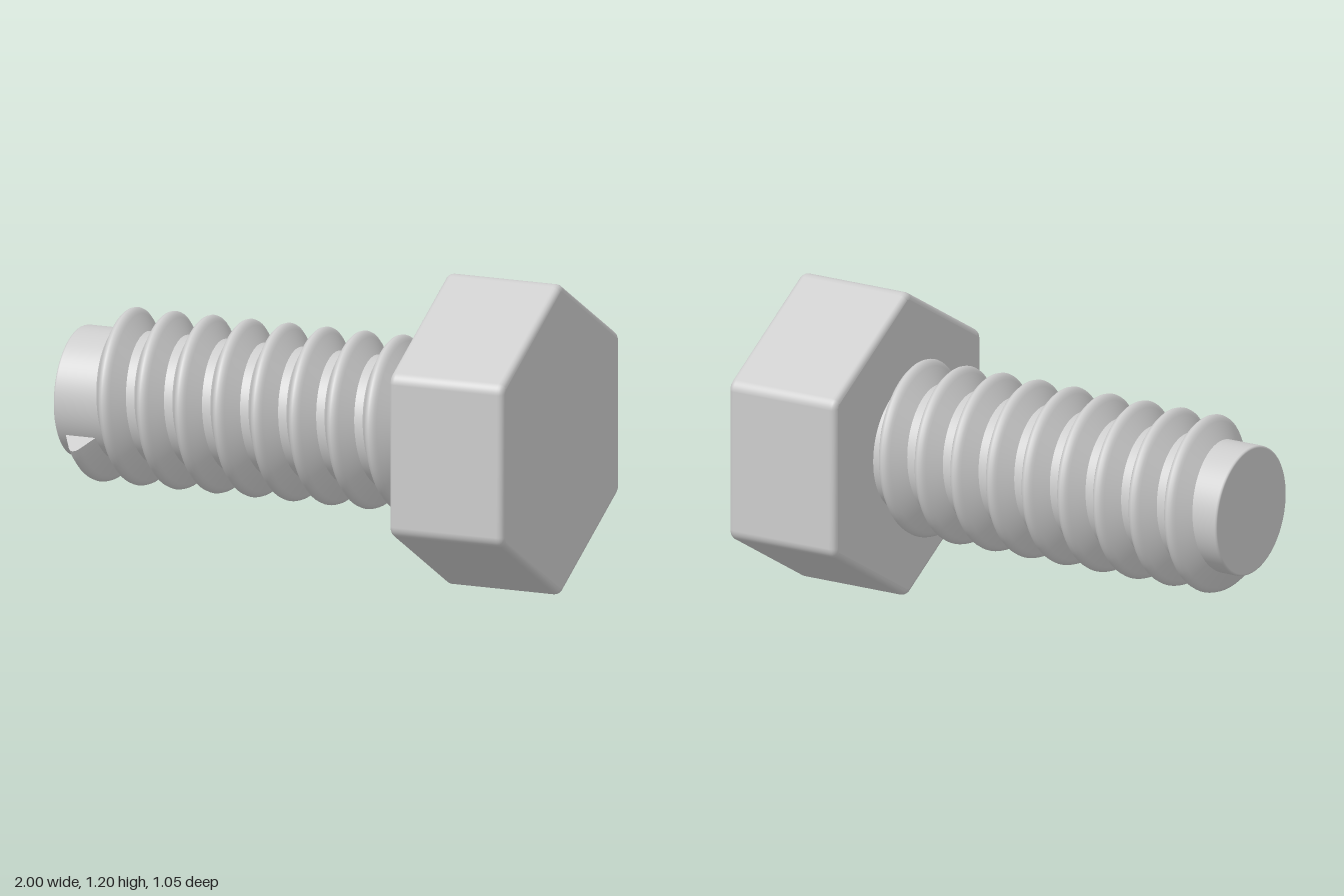
import * as THREE from 'three';
import { mergeVertices } from 'three/addons/utils/BufferGeometryUtils.js';

const AXIS_Y = 0.6;
const HEAD_X = 0.525;

// Weld the corners and take area-weighted normals, so flats stay flat and bevels are soft
function soften(geometry) {
  geometry.deleteAttribute('normal');
  geometry.deleteAttribute('uv');
  const welded = mergeVertices(geometry, 1e-4);
  welded.computeVertexNormals();
  return welded;
}

// Hexagonal head with rounded corners and bevelled rims
function headGeometry() {
  const bevel = 0.025, corner = 0.025, apothem = 0.525;
  const reach = (apothem - bevel - corner) / Math.cos(Math.PI / 6);
  const shape = new THREE.Shape();
  for (let i = 0; i < 6; i++) {
    const a = Math.PI / 2 + i * Math.PI / 3;
    shape.absarc(reach * Math.cos(a), reach * Math.sin(a), corner, a - Math.PI / 6, a + Math.PI / 6, false);
  }
  const geometry = new THREE.ExtrudeGeometry(shape, {
    depth: 1 - HEAD_X - 2 * bevel, bevelThickness: bevel, bevelSize: bevel,
    bevelSegments: 4, curveSegments: 4,
  });
  geometry.translate(0, 0, HEAD_X + bevel);
  geometry.rotateY(Math.PI / 2);
  return soften(geometry);
}

// Plain round shank with a slightly eased tip
function shankGeometry() {
  const profile = [[0, -1], [0.242, -1], [0.248, -0.998], [0.25, -0.992], [0.25, 0.54]]
    .map(([r, x]) => new THREE.Vector2(r, x));
  const geometry = new THREE.LatheGeometry(profile, 72);
  geometry.rotateZ(-Math.PI / 2);
  return soften(geometry);
}

// Helical ridge: a rounded V section swept for nine turns, closed at both ends
function threadGeometry() {
  const half = [[-0.066, 0.243], [-0.06, 0.253], [-0.025, 0.313], [-0.019, 0.323], [-0.01, 0.332]];
  const section = [...half, [0, 0.335], ...half.map(([x, r]) => [-x, r]).reverse()];
  const n = section.length, turns = 9, perTurn = 72, steps = turns * perTurn;
  const pitch = 0.1585, start = -4 * Math.PI / 3;
  const positions = [], index = [];
  const addRing = (i) => {
    const a = start + i / perTurn * Math.PI * 2;
    const centre = -0.795 + pitch * a / (Math.PI * 2);
    for (const [x, r] of section) positions.push(centre + x, r * Math.cos(a), r * Math.sin(a));
  };
  for (let i = 0; i <= steps; i++) addRing(i);
  for (let i = 0; i < steps; i++) {
    for (let j = 0; j < n - 1; j++) {
      const a = i * n + j, b = a + n;
      index.push(a, b, a + 1, b, b + 1, a + 1);
    }
  }
  // End caps on their own vertices for a crisp edge
  const first = (steps + 1) * n, last = first + n;
  addRing(0);
  addRing(steps);
  for (let j = 1; j < n - 1; j++) {
    index.push(first, first + j, first + j + 1);
    index.push(last, last + j + 1, last + j);
  }
  const geometry = new THREE.BufferGeometry();
  geometry.setAttribute('position', new THREE.Float32BufferAttribute(positions, 3));
  geometry.setIndex(index);
  geometry.computeVertexNormals();
  return geometry;
}

export function createModel() {
  const steel = new THREE.MeshStandardMaterial({ color: 0xcccccc });
  steel.name = 'steel grey';
  const bolt = new THREE.Group();
  bolt.name = 'bolt';
  const parts = { head: headGeometry(), shank: shankGeometry(), thread: threadGeometry() };
  for (const [name, geometry] of Object.entries(parts)) {
    const mesh = new THREE.Mesh(geometry, steel);
    mesh.name = name;
    mesh.position.y = AXIS_Y;
    bolt.add(mesh);
  }
  return bolt;
}
